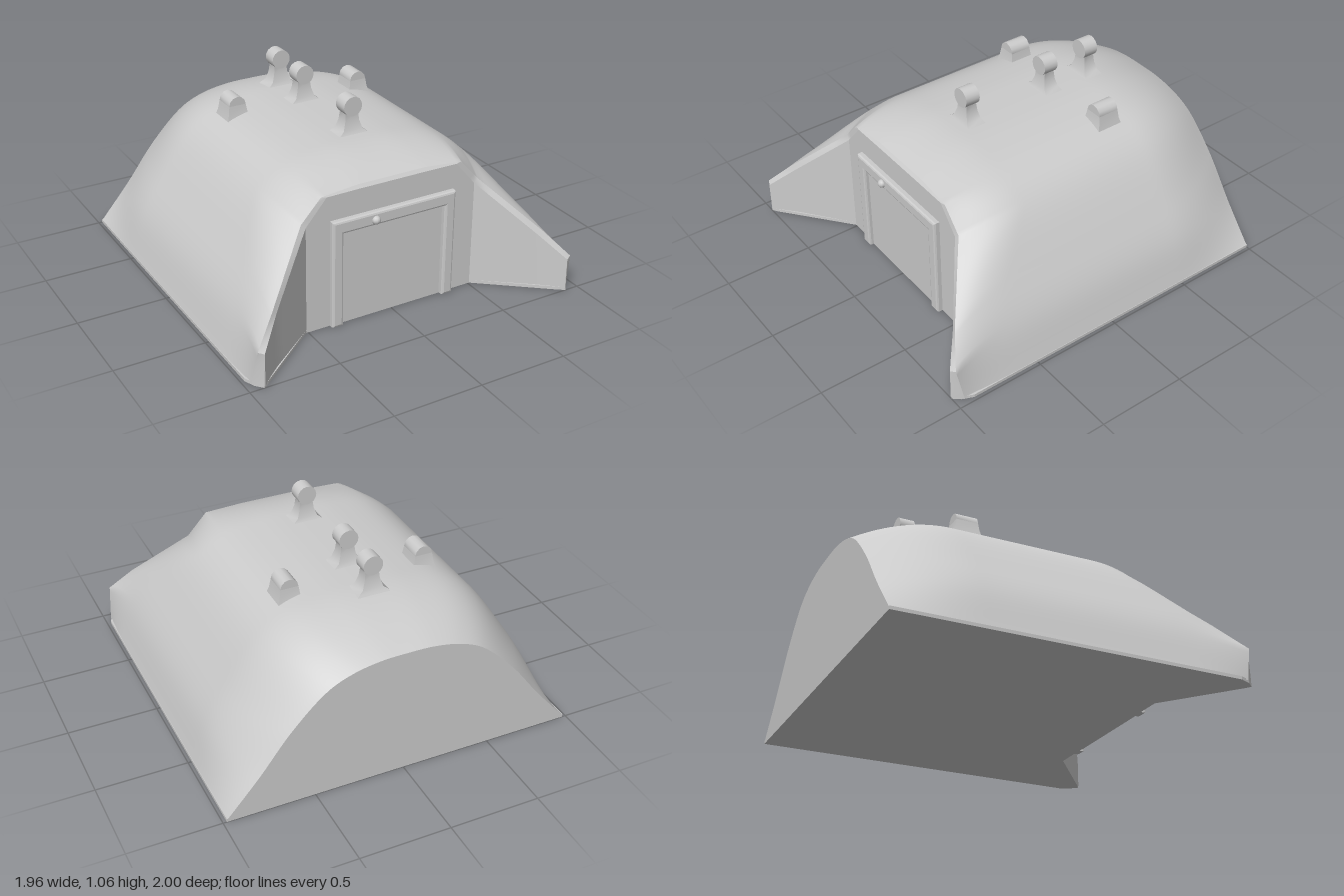
import * as THREE from 'three';
import { ParametricGeometry } from 'three/addons/geometries/ParametricGeometry.js';
import { toCreasedNormals } from 'three/addons/utils/BufferGeometryUtils.js';

const material = new THREE.MeshStandardMaterial({ color: 0xcccccc, side: THREE.DoubleSide });
const V = (x, y, z = 0) => new THREE.Vector3(x, y, z);

// Half sections run from the +x foot to the ridge; mirroring completes the arch.
const mirrored = half => half.concat(half.slice(0, -1).reverse().map(p => V(-p.x, p.y, p.z)));
const spline = half => new THREE.CatmullRomCurve3(mirrored(half));

const mainArch = spline([V(0.98, 0.01), V(0.9, 0.25), V(0.79, 0.44), V(0.6, 0.7), V(0.45, 0.8), V(0.22, 0.847), V(0, 0.855)]);
const backArch = spline([V(0.98, 0.01), V(0.8, 0.22), V(0.62, 0.45), V(0.43, 0.63), V(0.3, 0.69), V(0.15, 0.72), V(0, 0.725)]);
const frontEdge = mirrored([V(0.965, 0.01, 0.95), V(0.945, 0.2, 0.985), V(0.82, 0.34, 0.9), V(0.535, 0.63, 0.67),
  V(0.42, 0.755, 0.67), V(0.2, 0.77, 0.66), V(0, 0.77, 0.66)]);
const wallEdge = mirrored([V(0.92, 0.01, 1), V(0.915, 0.19, 1), V(0.79, 0.325, 0.89), V(0.51, 0.61, 0.675),
  V(0.39, 0.75, 0.675), V(0.2, 0.752, 0.675), V(0, 0.752, 0.675)]);

// Straight-sided sampling of a point list
function along(points, u) {
  const s = u * (points.length - 1);
  const i = Math.min(Math.floor(s), points.length - 2);
  return points[i].clone().lerp(points[i + 1], s - i);
}

function surface(fn, slices, stacks) {
  const geometry = new ParametricGeometry(fn, slices, stacks);
  geometry.computeVertexNormals();
  return geometry;
}

function add(parent, name, geometry, x = 0, y = 0, z = 0) {
  const mesh = new THREE.Mesh(geometry, material);
  mesh.name = name;
  mesh.position.set(x, y, z);
  parent.add(mesh);
  return mesh;
}

// Box whose rows follow [y, half width, half depth]
function rowBox(rows) {
  const geometry = new THREE.BoxGeometry(2, 1, 2, 1, rows.length - 1, 1);
  const p = geometry.attributes.position;
  for (let i = 0; i < p.count; i++) {
    const [y, hx, hz] = rows[Math.round((p.getY(i) + 0.5) * (rows.length - 1))];
    p.setXYZ(i, p.getX(i) * hx, y, p.getZ(i) * hz);
  }
  return toCreasedNormals(geometry, 0.8);
}

function extrude(points, depth, bevel = 0) {
  const shape = new THREE.Shape(points.map(([x, y]) => new THREE.Vector2(x, y)));
  return new THREE.ExtrudeGeometry(shape, {
    depth, bevelEnabled: bevel > 0, bevelSize: bevel, bevelThickness: bevel, bevelSegments: 2
  });
}

export function createModel() {
  const model = new THREE.Group();
  model.name = 'bunker';

  // Arched shell, easing into the back arch and the front edge
  add(model, 'shell', surface((u, v, out) => {
    const front = along(frontEdge, u);
    const z = THREE.MathUtils.lerp(-1, front.z, v);
    const toBack = Math.max(0, 1 - (z + 1) / 0.5) ** 2;
    const toFront = Math.max(0, 1 - (front.z - z) / 0.35) ** 2;
    out.copy(mainArch.getPoint(u)).lerp(backArch.getPoint(u), toBack).lerp(front, toFront);
    out.z = z;
  }, 96, 50));

  // Flat back wall
  add(model, 'backWall', surface((u, v, out) => {
    const p = backArch.getPoint(u);
    out.set(p.x, THREE.MathUtils.lerp(0.01, p.y, v), -1);
  }, 96, 1));

  // Bevelled rim of the facade and its angled wing walls
  add(model, 'facadeRim', toCreasedNormals(surface((u, v, out) => {
    out.copy(along(frontEdge, u)).lerp(along(wallEdge, u), v);
  }, 48, 1), 0.6));
  add(model, 'facadeWall', toCreasedNormals(surface((u, v, out) => {
    const p = along(wallEdge, u);
    out.set(p.x, THREE.MathUtils.lerp(p.y, 0.01, v), p.z);
  }, 48, 1), 0.5));

  // Thin floor slab following the plan
  const plan = [[0.98, 1], [0.98, -0.9], [0.955, -0.96], [0.92, -1], [0.89, -0.98], [0.51, -0.675]];
  const slab = extrude(plan.concat(plan.map(([x, y]) => [-x, y]).reverse()), 0.018);
  add(model, 'floor', slab.rotateX(-Math.PI / 2));

  // Door frame with a recessed door
  const outer = [[-0.36, 0.012], [-0.36, 0.6], [0.36, 0.6], [0.36, 0.012]];
  const inner = [[0.32, 0.012], [0.32, 0.55], [-0.32, 0.55], [-0.32, 0.012]];
  add(model, 'doorFrame', extrude(outer.concat(inner), 0.025, 0.012), 0, 0, 0.672);
  add(model, 'door', rowBox([[0.005, 0.3, 0.012], [0.53, 0.3, 0.012]]), 0, 0, 0.674);
  add(model, 'frameKnob', new THREE.SphereGeometry(0.024, 10, 8), -0.12, 0.57, 0.71);

  // Three tall ridge vents: flared foot, narrow neck, rounded head
  const stem = rowBox([[0.83, 0.1, 0.07], [0.855, 0.085, 0.055], [0.875, 0.058, 0.045],
    [0.92, 0.043, 0.035], [0.97, 0.037, 0.03], [1.0, 0.048, 0.037]]);
  const head = new THREE.CylinderGeometry(0.055, 0.055, 0.086, 16).rotateX(Math.PI / 2);
  for (const z of [0.23, -0.29, -0.57]) {
    const vent = new THREE.Group();
    vent.name = 'ridgeVent';
    add(vent, 'ventStem', stem);
    add(vent, 'ventHead', toCreasedNormals(head, 0.8), 0, 1.007, 0);
    vent.position.z = z;
    model.add(vent);
  }

  // Two low shoulder vents
  const foot = rowBox([[0.77, 0.075, 0.085], [0.83, 0.058, 0.068], [0.88, 0.05, 0.062]]);
  const cap = toCreasedNormals(new THREE.CylinderGeometry(0.05, 0.05, 0.124, 12).rotateX(Math.PI / 2), 0.8);
  for (const side of [1, -1]) {
    const vent = new THREE.Group();
    vent.name = side > 0 ? 'leftShoulderVent' : 'rightShoulderVent';
    add(vent, 'ventFoot', foot);
    add(vent, 'ventCap', cap, 0, 0.88, 0);
    vent.position.set(side * 0.385, 0, -0.38);
    model.add(vent);
  }
  return model;
}
